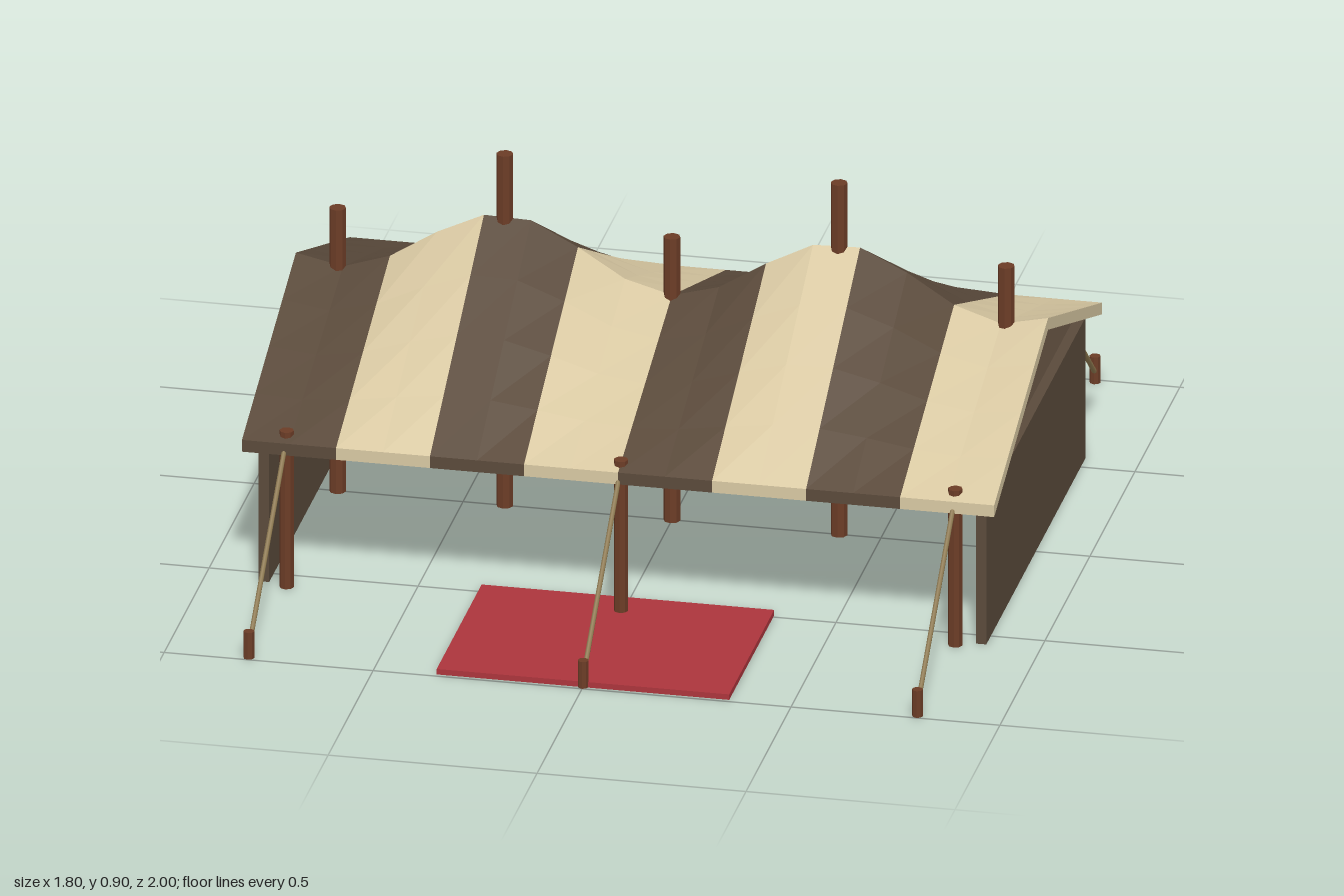
import * as THREE from 'three';

const mat = (name, color) => {
  const m = new THREE.MeshStandardMaterial({ color });
  m.name = name;
  return m;
};

export function createModel() {
  const dark = mat('brown canvas', 0x5a4a3b);
  const cream = mat('cream canvas', 0xd8c8a2);
  const wood = mat('wood', 0x6b3c26);
  const ropeMat = mat('rope', 0x8f7a50);
  const red = mat('red rug', 0xac353c);

  const model = new THREE.Group();
  model.name = 'marketTent';
  const add = (name, geometry, material, x = 0, y = 0, z = 0) => {
    const m = new THREE.Mesh(geometry, material);
    m.name = name;
    m.position.set(x, y, z);
    model.add(m);
    return m;
  };
  const box = (name, w, h, d, material, x, y, z) =>
    add(name, new THREE.BoxGeometry(w, h, d), material, x, y, z);
  const post = (name, r, h, x, z) =>
    add(name, new THREE.CylinderGeometry(r, r, h, 8).toNonIndexed(), wood, x, h / 2, z);

  // Roof: a thin ridged slab whose ridge rises and falls in waves
  const half = 0.9, depth = 0.6, eave = 0.38, thick = 0.03, rows = 4;
  const ridge = (x) => 0.66 - 0.085 * Math.cos((x * Math.PI * 2) / 0.8);
  const section = (x) => {
    const top = [], bottom = [];
    for (let i = -rows; i <= rows; i++) {
      const t = Math.abs(i) / rows;
      const y = ridge(x) + (eave - ridge(x)) * t;
      const z = (-i / rows) * depth;
      top.push([x, y, z]);
      bottom.unshift([x, y - thick, z]);
    }
    return [...top, ...bottom];
  };
  const stripeGeometry = (x0, x1, steps) => {
    const pos = [];
    const quad = (a, b, c, d) => pos.push(...a, ...b, ...c, ...a, ...c, ...d);
    for (let s = 0; s < steps; s++) {
      const p = section(x0 + ((x1 - x0) * s) / steps);
      const q = section(x0 + ((x1 - x0) * (s + 1)) / steps);
      for (let i = 0; i < p.length; i++) {
        const j = (i + 1) % p.length;
        quad(p[i], q[i], q[j], p[j]);
      }
    }
    // Close the cut edge at the two gable ends
    for (const x of [x0, x1]) {
      if (Math.abs(x) < half - 0.001) continue;
      const e = section(x), n = e.length;
      for (let i = 0; i < 2 * rows; i++) {
        const c = [e[i], e[i + 1], e[n - 2 - i], e[n - 1 - i]];
        if (x > 0) c.reverse();
        quad(...c);
      }
    }
    const g = new THREE.BufferGeometry();
    g.setAttribute('position', new THREE.Float32BufferAttribute(pos, 3));
    g.computeVertexNormals();
    return g;
  };
  const stripe = (2 * half) / 8;
  for (let i = 0; i < 8; i++) {
    const x = -half + i * stripe;
    add('roofStripe', stripeGeometry(x, x + stripe, 2), i % 2 ? cream : dark);
  }

  // Canvas walls on the back and both sides
  box('backWall', 1.69, 0.36, 0.02, dark, 0, 0.18, -0.56);
  for (const s of [-1, 1]) box('sideWall', 0.025, 0.36, 1.1, dark, s * 0.858, 0.18, 0);

  // Ridge poles, tall under the peaks and short in the dips
  for (const x of [-0.8, -0.4, 0, 0.4, 0.8]) {
    const tall = Math.abs(Math.abs(x) - 0.4) < 0.01;
    post('ridgePole', 0.02, tall ? 0.9 : 0.725, x, 0);
  }

  // Front poles, guy ropes and stakes
  const up = new THREE.Vector3(0, 1, 0);
  for (const x of [-0.8, 0, 0.8]) {
    post('frontPole', 0.017, 0.4, x, 0.567);
    for (const s of [-1, 1]) {
      post('stake', 0.013, 0.068, x, s * 0.987);
      const a = new THREE.Vector3(x, 0.375, s * 0.575);
      const b = new THREE.Vector3(x, 0.03, s * 0.98);
      const d = b.clone().sub(a);
      const rope = add('guyRope', new THREE.CylinderGeometry(0.006, 0.006, d.length(), 6), ropeMat);
      rope.position.copy(a).add(b).multiplyScalar(0.5);
      rope.quaternion.setFromUnitVectors(up, d.normalize());
    }
  }

  // Rug at the entrance
  box('rug', 0.7, 0.014, 0.5, red, 0, 0.007, 0.74);

  // Faceted shading on the poles
  model.children.forEach((m) => {
    if (m.material === wood) m.geometry.computeVertexNormals();
  });
  return model;
}
